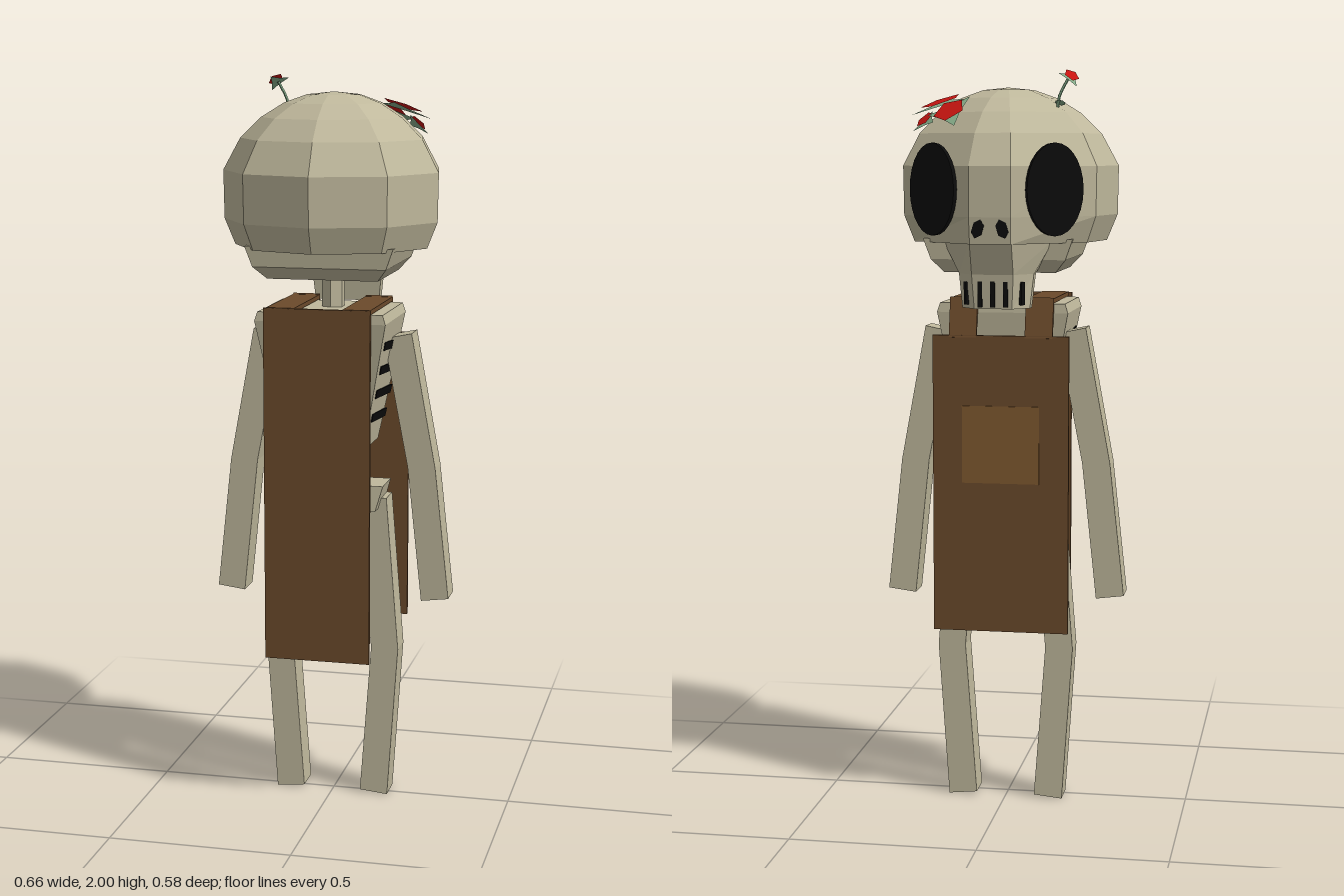
import * as THREE from 'three';

const mat = (color, side = THREE.FrontSide) => new THREE.MeshStandardMaterial({ color, side, flatShading: true, roughness: 1 });
const bone = mat(0xbfb89c), black = mat(0x0c0c0c), cloth = mat(0x6b4a2b), patchCloth = mat(0x80592f);
const red = mat(0xc81410, THREE.DoubleSide), green = mat(0x86ad8a, THREE.DoubleSide);

// Skin between rings of [x, y, z] points, listed bottom to top, with both ends capped
function loft(rings) {
  const p = [];
  const tri = (a, b, c) => p.push(...a, ...b, ...c);
  const n = rings[0].length, last = rings[rings.length - 1];
  const mid = r => [0, 1, 2].map(k => r.reduce((s, v) => s + v[k], 0) / n);
  for (let j = 0; j < n; j++) {
    const k = (j + 1) % n;
    for (let i = 0; i < rings.length - 1; i++) {
      const a = rings[i], b = rings[i + 1];
      tri(a[j], a[k], b[k]);
      tri(a[j], b[k], b[j]);
    }
    tri(mid(rings[0]), rings[0][k], rings[0][j]);
    tri(mid(last), last[j], last[k]);
  }
  const g = new THREE.BufferGeometry();
  g.setAttribute('position', new THREE.Float32BufferAttribute(p, 3));
  g.computeVertexNormals();
  return g;
}

// Rectangular ring
const rect = (x, y, z, hx, hz) => [[x - hx, y, z + hz], [x + hx, y, z + hz], [x + hx, y, z - hz], [x - hx, y, z - hz]];

function add(parent, name, geometry, material, x = 0, y = 0, z = 0) {
  const m = new THREE.Mesh(geometry, material);
  m.name = name;
  m.position.set(x, y, z);
  parent.add(m);
  return m;
}
const box = (parent, name, material, w, h, d, x, y, z) => add(parent, name, new THREE.BoxGeometry(w, h, d), material, x, y, z);

function makeHead() {
  const head = new THREE.Group();
  head.name = 'head';
  // Nine-sided cranium with a narrow flat face at -z
  const ring = ([r, y, face = r]) => Array.from({ length: 9 }, (_, j) => {
    if (j === 4 || j === 5) return [(j === 4 ? 0.19 : -0.19) * face, y, -face];
    const a = j * Math.PI * 2 / 9;
    return [r * Math.sin(a) * 1.03, y, r * Math.cos(a)];
  });
  const profile = [[0.26, 1.55, 0.283], [0.288, 1.62, 0.29], [0.29, 1.75], [0.245, 1.835], [0.19, 1.89], [0.13, 1.928], [0.07, 1.95], [0.004, 1.957]];
  add(head, 'cranium', loft(profile.map(ring)), bone);
  // Underside of the skull
  add(head, 'skullBase', loft([rect(0, 1.47, 0, 0.15, 0.14), rect(0, 1.505, 0.005, 0.18, 0.175), rect(0, 1.56, 0.005, 0.2, 0.18)]), bone);
  // Upper jaw with chamfered front corners
  const jawRing = (y, w, f, back, front) => [[-w, y, back], [w, y, back], [w, y, back - 0.035], [f, y, front], [-f, y, front], [-w, y, back - 0.035]];
  add(head, 'jaw', loft([jawRing(1.38, 0.09, 0.05, -0.16, -0.24), jawRing(1.47, 0.1, 0.055, -0.155, -0.25), jawRing(1.56, 0.15, 0.055, -0.13, -0.283)]), bone);
  for (const x of [-0.034, 0, 0.034]) box(head, 'toothGap', black, 0.012, 0.07, 0.01, x, 1.42, -0.243);
  for (const s of [-1, 1]) {
    const gap = box(head, 'sideToothGap', black, 0.012, 0.06, 0.012, s * 0.073, 1.42, -0.221);
    gap.rotation.y = -s * 0.85;
    // Eye sockets lie on the angled cheek planes
    const eye = add(head, 'eyeSocket', new THREE.CylinderGeometry(1, 1, 1, 28).rotateX(Math.PI / 2), black, s * 0.16, 1.69, -0.231);
    eye.scale.set(0.08, 0.12, 0.012);
    eye.rotation.y = Math.PI - s * 0.57;
    // Nostrils
    const nose = add(head, 'nostril', new THREE.CylinderGeometry(0.016, 0.016, 0.006, 6).rotateX(Math.PI / 2), black, s * 0.032, 1.59, -0.287);
    nose.scale.y = 1.6;
    nose.rotation.z = s * 0.3;
  }
  return head;
}

// Flat five-sided blossom over pointed leaves, facing along dir
function flower(parent, r, pos, dir, turn) {
  const f = new THREE.Group();
  f.name = 'flower';
  f.position.set(...pos);
  f.lookAt(pos[0] + dir[0], pos[1] + dir[1], pos[2] + dir[2]);
  f.rotateZ(turn);
  add(f, 'petals', new THREE.CircleGeometry(r, 5), red, 0, 0, 0.008);
  const star = new THREE.Shape();
  for (let i = 0; i < 6; i++) {
    const a = i * Math.PI / 3, l = r * (i % 2 ? 0.65 : 1.55);
    star[i ? 'lineTo' : 'moveTo'](l * Math.cos(a), l * Math.sin(a));
  }
  add(f, 'leaves', new THREE.ShapeGeometry(star), green);
  parent.add(f);
}

function makeTorso() {
  const torso = new THREE.Group();
  torso.name = 'torso';
  add(torso, 'ribcage', loft([rect(0, 1.01, 0.03, 0.11, 0.095), rect(0, 1.05, 0.03, 0.118, 0.1), rect(0, 1.36, 0.035, 0.178, 0.137), rect(0, 1.385, 0.035, 0.17, 0.135)]), bone);
  // Dark gaps between ribs wrap the sides and chest, dipping forward
  for (let i = 0; i < 4; i++) {
    const slice = y => {
      const t = (y - 1.05) / 0.31;
      return rect(0, y, 0.012, 0.122 + 0.06 * t, 0.086 + 0.037 * t).map(([x, v, z]) => [x, v + (z - 0.03) * 0.08, z]);
    };
    const y = 1.09 + i * 0.066;
    add(torso, 'ribGap', loft([slice(y - 0.011), slice(y + 0.012)]), black);
  }
  add(torso, 'neck', new THREE.CylinderGeometry(0.032, 0.032, 0.12, 6), bone, 0, 1.43, 0.01);
  box(torso, 'spine', bone, 0.04, 0.16, 0.04, 0, 0.95, 0.02);
  add(torso, 'pelvis', loft([rect(0, 0.83, 0.005, 0.13, 0.062), rect(0, 0.9, 0.005, 0.15, 0.055)]), bone);
  return torso;
}

function makeTabard() {
  const t = new THREE.Group();
  t.name = 'tabard';
  box(t, 'backPanel', cloth, 0.29, 0.965, 0.012, -0.005, 0.915, 0.18);
  box(t, 'frontPanel', cloth, 0.37, 0.81, 0.01, 0, 0.895, -0.125);
  box(t, 'patch', patchCloth, 0.21, 0.21, 0.004, 0, 1.005, -0.131);
  for (const s of [-1, 1]) {
    box(t, 'shoulderStrap', cloth, 0.075, 0.012, 0.29, s * 0.103, 1.393, 0.04);
    const strap = box(t, 'chestStrap', cloth, 0.075, 0.11, 0.01, s * 0.103, 1.347, -0.114);
    strap.rotation.x = 0.22;
  }
  return t;
}

export function createModel() {
  const model = new THREE.Group();
  model.name = 'skeleton';
  model.add(makeHead(), makeTorso(), makeTabard());

  // Bent arms and legs
  for (const s of [-1, 1]) {
    const limb = (name, pts) => add(model, name, loft(pts.map(([x, y, h, dy = 0]) =>
      rect(s * x, y, -0.014, h, 0.04).map(([px, py, pz]) => [px, py + dy * (Math.abs(px) - x) / h, pz]))), bone);
    limb(s > 0 ? 'leftArm' : 'rightArm', [[0.29, 0.58, 0.038, 0.005], [0.25, 0.95, 0.038], [0.182, 1.31, 0.038, 0.008]]);
    limb(s > 0 ? 'leftLeg' : 'rightLeg', [[0.12, 0.005, 0.039, -0.004], [0.15, 0.43, 0.038], [0.115, 0.86, 0.038]]);
  }

  // Blossoms on the crown
  flower(model, 0.058, [0.165, 1.912, -0.09], [0.3, 1, -0.2], 0.4);
  flower(model, 0.045, [0.12, 1.888, -0.195], [0.3, 0.8, -0.6], 1.2);
  flower(model, 0.028, [0.195, 1.866, -0.145], [0.6, 0.8, -0.5], 2);

  // Sprout with one blossom and one leaf
  const stem = new THREE.CatmullRomCurve3([[-0.145, 1.88, -0.085], [-0.15, 1.93, -0.085], [-0.175, 1.98, -0.085]].map(p => new THREE.Vector3(...p)));
  add(model, 'sproutStem', new THREE.TubeGeometry(stem, 6, 0.004, 5), green);
  flower(model, 0.022, [-0.18, 1.98, -0.088], [-0.5, 0.7, -0.5], 0.6);
  const leaf = add(model, 'sproutLeaf', new THREE.CircleGeometry(1, 8), green, -0.15, 1.915, -0.068);
  leaf.scale.set(0.014, 0.026, 1);
  leaf.rotation.x = -1.3;
  return model;
}
